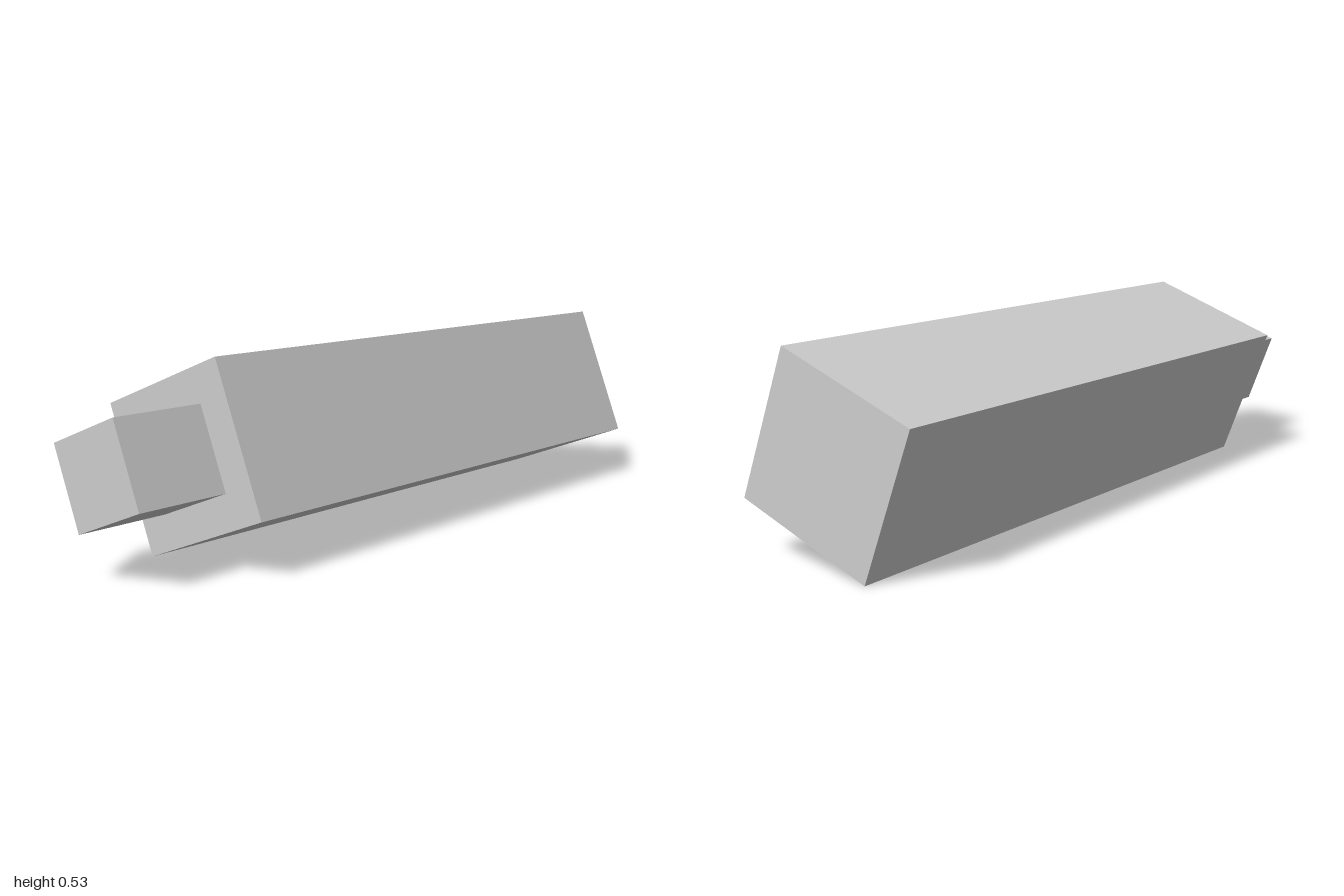
import * as THREE from 'three';

export function createModel() {
  const group = new THREE.Group();
  const grey = new THREE.MeshStandardMaterial({ color: 0xcccccc });
  grey.name = 'light grey';

  // Square bar along z, rolled so that it rests on one edge
  const roll = THREE.MathUtils.degToRad(21);
  function bar(name, width, height, back, front) {
    const mesh = new THREE.Mesh(new THREE.BoxGeometry(width, height, front - back), grey);
    mesh.name = name;
    mesh.position.set(0, 0.268, (back + front) / 2);
    mesh.rotation.z = roll;
    group.add(mesh);
  }

  bar('body', 0.416, 0.412, -1, 0.725);
  bar('tip', 0.233, 0.228, 0.725, 1);
  return group;
}
